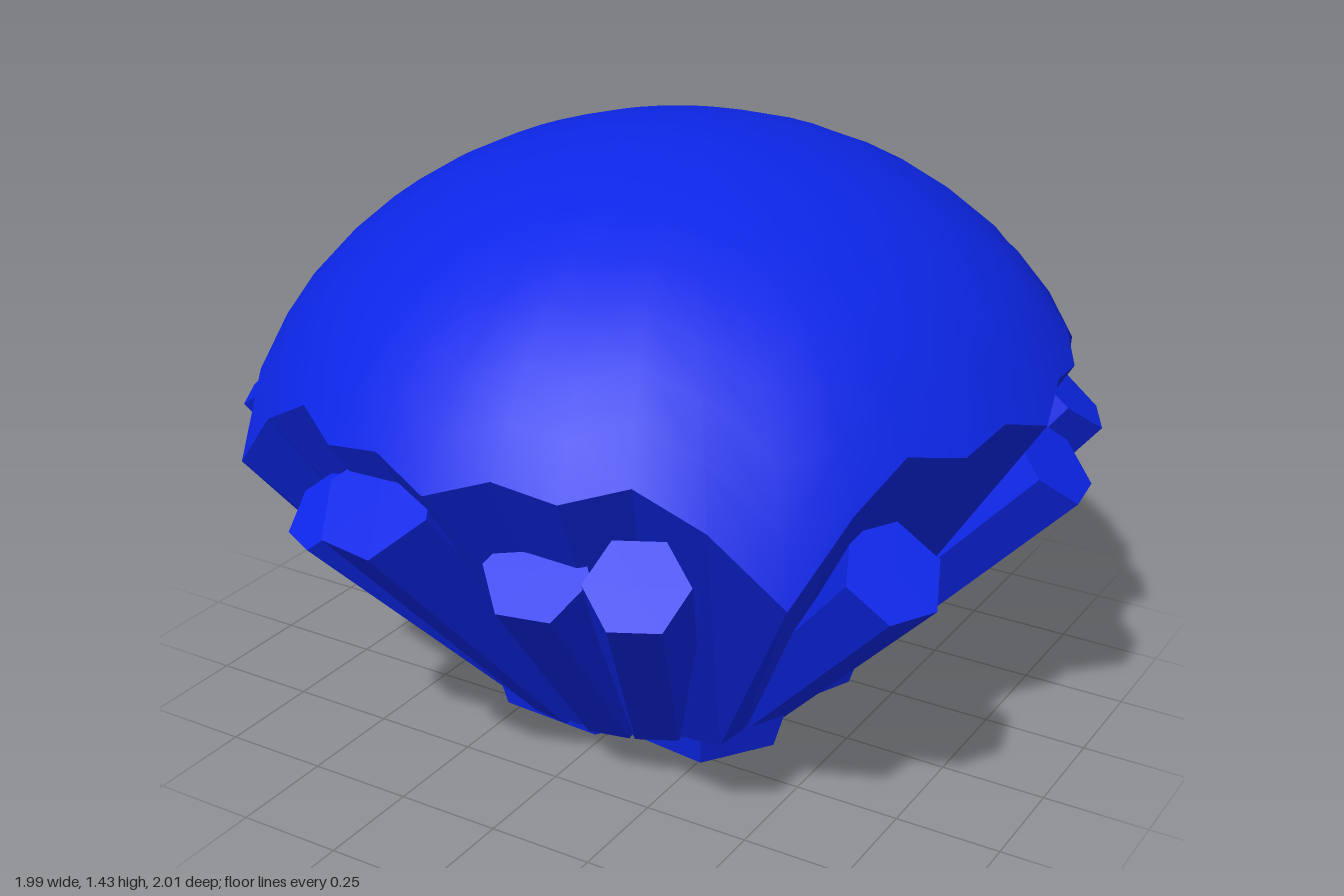
import * as THREE from 'three';
import { mergeVertices } from 'three/addons/utils/BufferGeometryUtils.js';

const SIDES = 40;      // corners around the body
const DOME_ROWS = 9;
const DOME = { y: 0.6, rx: 1.0, ry: 0.83 };
const Z_SCALE = 1.05;  // slightly deeper than wide
const Z_SHIFT = -0.03;

// Height of the jagged dome rim, repeated per quarter; it dips over the diagonal bulges
const RIM = [0.90, 0.95, 0.925, 0.96, 0.88, 0.72, 0.88, 0.96, 0.925, 0.95];
const rimY = (k) => RIM[k % RIM.length];

// Closed ring-by-ring surface; point(row, k) returns [radius, y]
function rings(rows, point) {
  const pos = [], idx = [];
  for (let i = 0; i < rows; i++) {
    for (let k = 0; k < SIDES; k++) {
      const t = (k / SIDES) * Math.PI * 2;
      const [r, y] = point(i, k);
      pos.push(r * Math.sin(t), y, r * Math.cos(t) * Z_SCALE + Z_SHIFT);
      if (i < rows - 1) {
        const a = i * SIDES + k, d = i * SIDES + (k + 1) % SIDES;
        idx.push(a, a + SIDES, d + SIDES, a, d + SIDES, d);
      }
    }
  }
  const g = new THREE.BufferGeometry();
  g.setAttribute('position', new THREE.Float32BufferAttribute(pos, 3));
  g.setIndex(idx);
  return g;
}

function faceted(geometry) {
  const g = geometry.toNonIndexed();
  g.computeVertexNormals();
  return g;
}

// Six-sided tapered column between two points, with a flat side facing outward
function column(from, to, rFrom, rTo) {
  const dir = to.clone().sub(from);
  const g = new THREE.CylinderGeometry(rTo, rFrom, dir.length(), 6);
  g.rotateY(Math.atan2(dir.x, dir.z) + Math.PI / 2);
  g.applyQuaternion(new THREE.Quaternion().setFromUnitVectors(
    new THREE.Vector3(0, 1, 0), dir.clone().normalize()));
  const mid = from.clone().add(to).multiplyScalar(0.5);
  return faceted(g.translate(mid.x, mid.y, mid.z));
}

export function createModel() {
  const model = new THREE.Group();
  const blue = new THREE.MeshStandardMaterial({ color: 0x0c26e8 });
  blue.name = 'deep blue';
  const add = (name, geometry, parent = model) => {
    const m = new THREE.Mesh(geometry, blue);
    m.name = name;
    parent.add(m);
  };

  // Smooth ellipsoid cap ending on the jagged rim
  const dome = mergeVertices(rings(DOME_ROWS, (i, k) => {
    const end = Math.acos((rimY(k) - DOME.y) / DOME.ry);
    const a = end * i / (DOME_ROWS - 1);
    return [DOME.rx * Math.sin(a), DOME.y + DOME.ry * Math.cos(a)];
  }));
  dome.computeVertexNormals();
  add('dome', dome);

  // Fluted body narrowing to the foot
  add('body', faceted(rings(3, (i, k) => {
    const y = rimY(k);
    if (i === 2) return [0, 0.08];
    if (i === 1) return [0.42 + (0.9 - y) * 0.3, 0.1];
    return [DOME.rx * Math.sqrt(1 - ((y - DOME.y) / DOME.ry) ** 2), y];
  })));

  // Outer columns: centre of the upper cap and its radius
  const columns = new THREE.Group();
  columns.name = 'outerColumns';
  model.add(columns);
  const caps = [
    [-0.41, 0.70, 0.77, 0.105], [-0.16, 0.83, 0.89, 0.145], [0.17, 0.71, 0.80, 0.12],
    [0.43, 0.76, 0.83, 0.11], [0.78, 0.69, 0.39, 0.12], [0.90, 0.76, -0.17, 0.12],
    [0.80, 0.81, -0.47, 0.135], [-0.91, 0.77, -0.20, 0.13], [-0.81, 0.83, 0.43, 0.12],
    [-0.46, 0.83, -0.85, 0.13], [0.00, 0.70, -0.84, 0.13], [0.45, 0.70, -0.75, 0.13],
    [-0.75, 0.69, -0.47, 0.11],
  ];
  for (const [x, y, z, r] of caps) {
    const s = 0.35 / Math.hypot(x, z);
    add('column', column(new THREE.Vector3(x * s, 0.15, z * s * 1.08 + Z_SHIFT),
      new THREE.Vector3(x, y, z), 0.1, r), columns);
  }

  // Staggered blunt column ends underneath
  const feet = new THREE.Group();
  feet.name = 'feet';
  model.add(feet);
  const ends = [
    [-0.13, 0.01, 0.06, 0.27], [0.21, 0.03, -0.18, 0.19],
    [-0.13, 0.07, -0.26, 0.18], [0.19, 0.03, 0.13, 0.19],
  ];
  for (const [x, y, z, r] of ends) {
    add('foot', column(new THREE.Vector3(x, y, z),
      new THREE.Vector3(x * 1.04, 0.25, z * 1.04), r, r + 0.06), feet);
  }
  return model;
}
